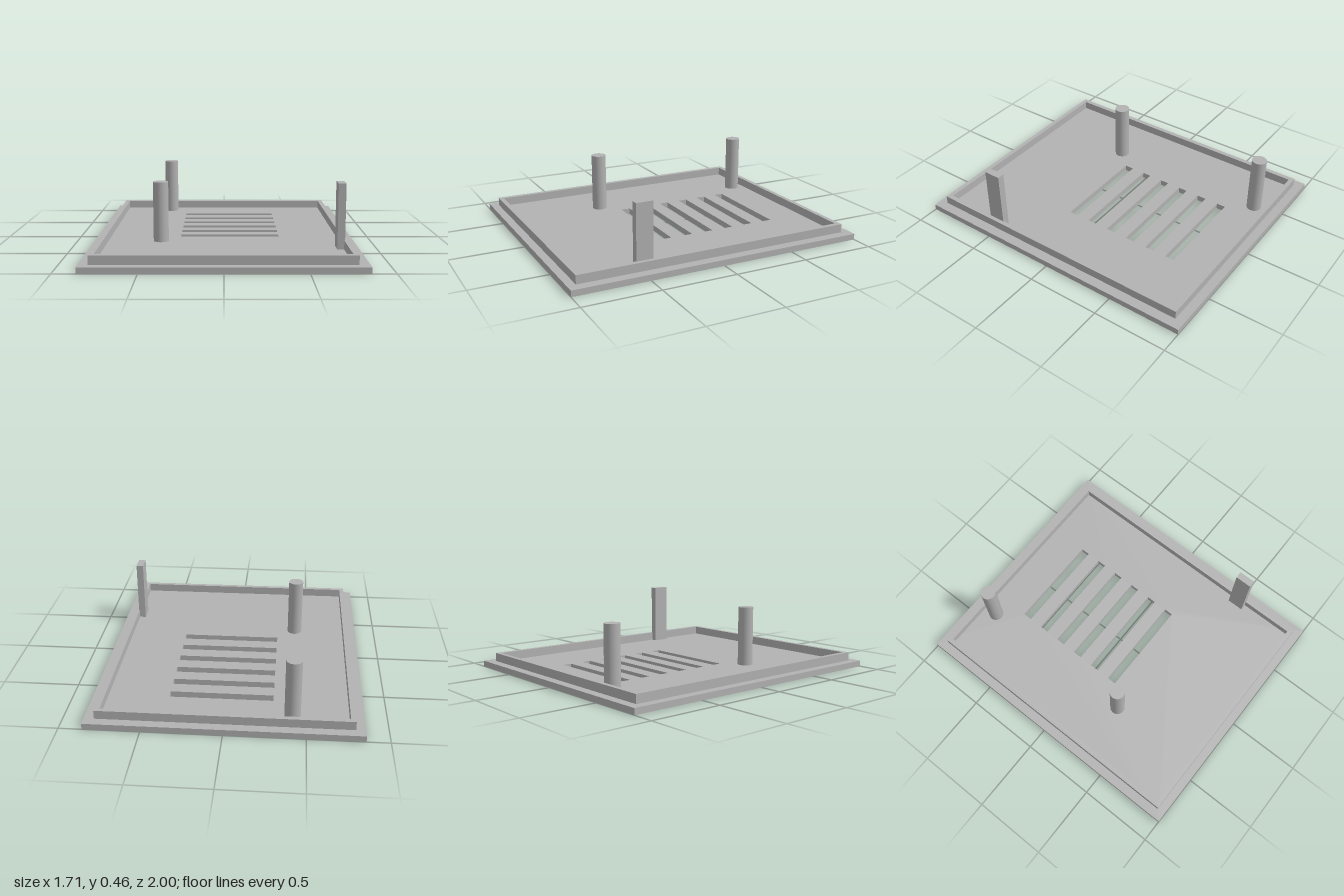
import * as THREE from 'three';

const grey = new THREE.MeshStandardMaterial({ color: 0xb2b2b2 });
grey.name = 'grey plastic';

// Rectangle outline on the ground plane; shape y runs along -z
function rect(Type, x0, x1, z0, z1) {
  return new Type([
    new THREE.Vector2(x0, -z1), new THREE.Vector2(x1, -z1),
    new THREE.Vector2(x1, -z0), new THREE.Vector2(x0, -z0),
  ]);
}

// Flat slab from y0 to y1 with rectangular holes
function slab(name, outline, holes, y0, y1) {
  const shape = rect(THREE.Shape, ...outline);
  for (const h of holes) shape.holes.push(rect(THREE.Path, ...h));
  const geo = new THREE.ExtrudeGeometry(shape, { depth: y1 - y0, bevelEnabled: false });
  geo.rotateX(-Math.PI / 2).translate(0, y0, 0);
  const mesh = new THREE.Mesh(geo, grey);
  mesh.name = name;
  return mesh;
}

export function createModel() {
  const model = new THREE.Group();
  model.name = 'ventedCover';

  const plate = [-0.855, 0.855, -1, 1];
  const recess = [-0.61, 0.47, 0.48, 0.825];
  const floorY = 0.04, recessY = 0.013;

  // Six ventilation slots
  const slots = [];
  for (let i = 0; i < 6; i++) {
    const z = -0.627 + i * 0.1555;
    slots.push([-0.293, 0.37, z - 0.031, z + 0.031]);
  }

  // Base plate: the lower layer also has the label recess cut into it
  model.add(slab('plateUnderside', plate, [...slots, recess], 0, recessY));
  model.add(slab('platePanel', plate, slots, recessY, floorY));

  // Raised rim
  model.add(slab('rim', [-0.795, 0.79, -0.94, 0.945], [[-0.763, 0.758, -0.91, 0.915]], floorY, 0.097));

  // Two round posts
  for (const z of [-0.82, 0.302]) {
    const post = new THREE.Mesh(new THREE.CylinderGeometry(0.05, 0.05, 0.395, 40), grey);
    post.name = 'post';
    post.position.set(-0.415, floorY + 0.1975, z);
    model.add(post);
  }

  // Upright latch tab against the rim
  model.add(slab('latchTab', [0.715, 0.763, 0.44, 0.553], [], floorY, 0.46));

  return model;
}
